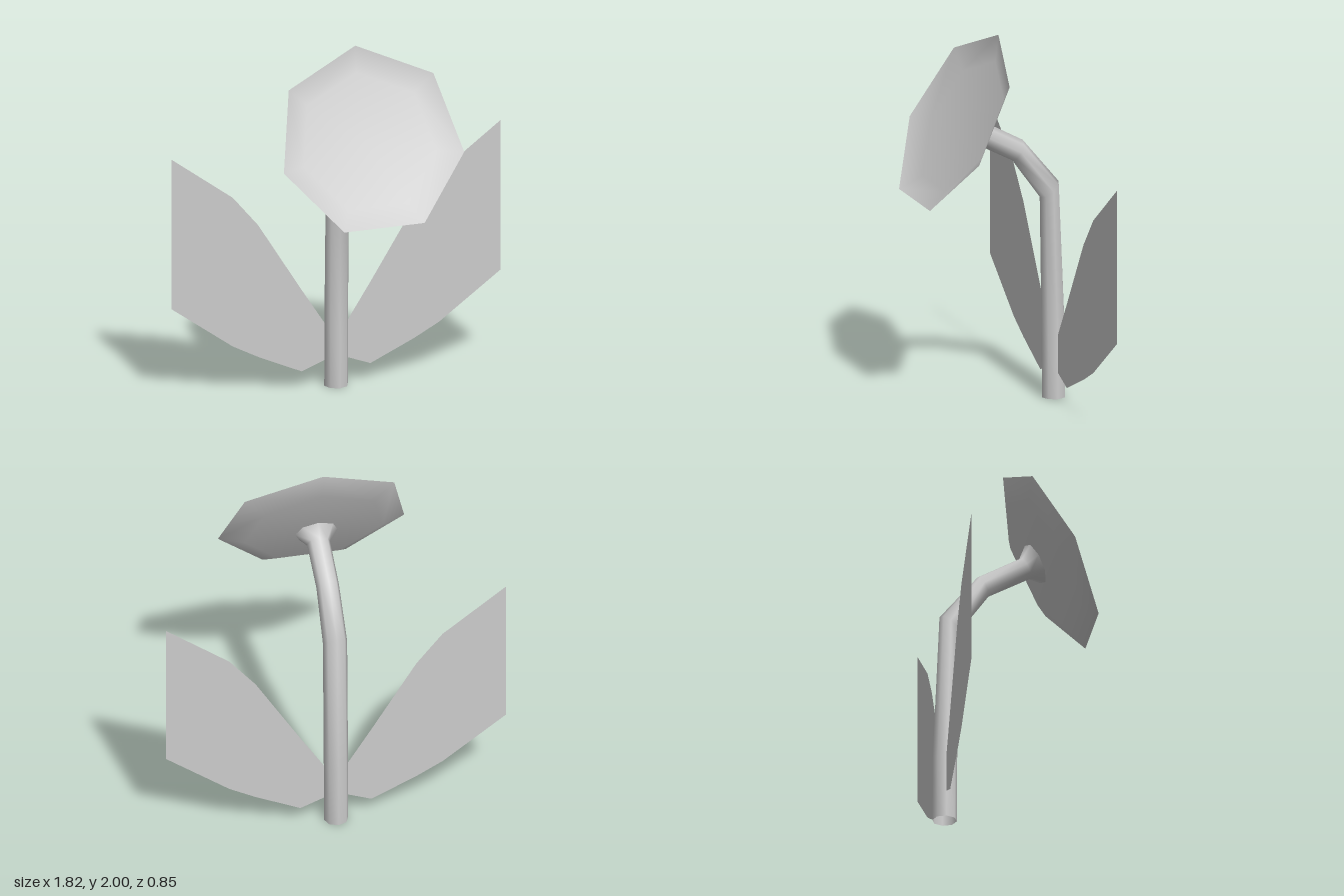
import * as THREE from 'three';

const SIDES = 8;

// Smooth open tube through octagonal rings; each ring is given by its
// front and back points in the side plane: [frontZ, frontY, backZ, backY]
function ringTube(rings) {
  const positions = [], index = [];
  for (const [fz, fy, bz, by] of rings) {
    const cy = (fy + by) / 2, cz = (fz + bz) / 2;
    const hy = (fy - by) / 2, hz = (fz - bz) / 2;
    const r = Math.hypot(hy, hz);
    for (let j = 0; j < SIDES; j++) {
      const t = (j / SIDES) * Math.PI * 2;
      positions.push(Math.sin(t) * r, cy + Math.cos(t) * hy, cz + Math.cos(t) * hz);
    }
  }
  for (let i = 0; i < rings.length - 1; i++) {
    for (let j = 0; j < SIDES; j++) {
      const a = i * SIDES + j, b = i * SIDES + ((j + 1) % SIDES);
      index.push(a, b, a + SIDES, b, b + SIDES, a + SIDES);
    }
  }
  const geometry = new THREE.BufferGeometry();
  geometry.setAttribute('position', new THREE.Float32BufferAttribute(positions, 3));
  geometry.setIndex(index);
  geometry.computeVertexNormals();
  return geometry;
}

export function createModel() {
  const group = new THREE.Group();
  const material = new THREE.MeshStandardMaterial({ color: 0xcccccc, side: THREE.DoubleSide });
  const add = (name, geometry) => {
    const mesh = new THREE.Mesh(geometry, material);
    mesh.name = name;
    group.add(mesh);
    return mesh;
  };

  // Stem bending forward, flared at the tip
  add('stem', ringTube([
    [-0.295, 0, -0.425, 0],
    [-0.293, 0.35, -0.423, 0.35],
    [-0.285, 1.09, -0.387, 1.17],
    [-0.128, 1.308, -0.187, 1.414],
    [0.098, 1.43, 0.035, 1.537],
    [0.175, 1.415, 0.065, 1.615],
  ]));

  // Shallow seven-sided flower dish, tilted upwards
  const dish = new THREE.LatheGeometry(
    [[0, -0.055], [0.377, -0.055], [0.511, 0]].map(([x, y]) => new THREE.Vector2(x, y)),
    7, Math.PI);
  const head = add('flowerHead', dish);
  head.rotation.x = THREE.MathUtils.degToRad(61);
  head.position.set(0, 1.553, 0.197);

  // Flat mirrored leaves
  const outline = [
    [0, 0.17], [0.06, 0.145], [0.19, 0.095], [0.43, 0.205], [0.57, 0.28], [0.91, 0.53],
    [0.91, 1.365], [0.57, 1.11], [0.43, 0.94], [0.19, 0.55], [0.06, 0.345], [0, 0.25],
  ];
  for (const [name, side] of [['leftLeaf', 1], ['rightLeaf', -1]]) {
    const shape = new THREE.Shape(outline.map(([x, y]) => new THREE.Vector2(x * side, y)));
    add(name, new THREE.ShapeGeometry(shape)).position.z = -0.36;
  }

  return group;
}
